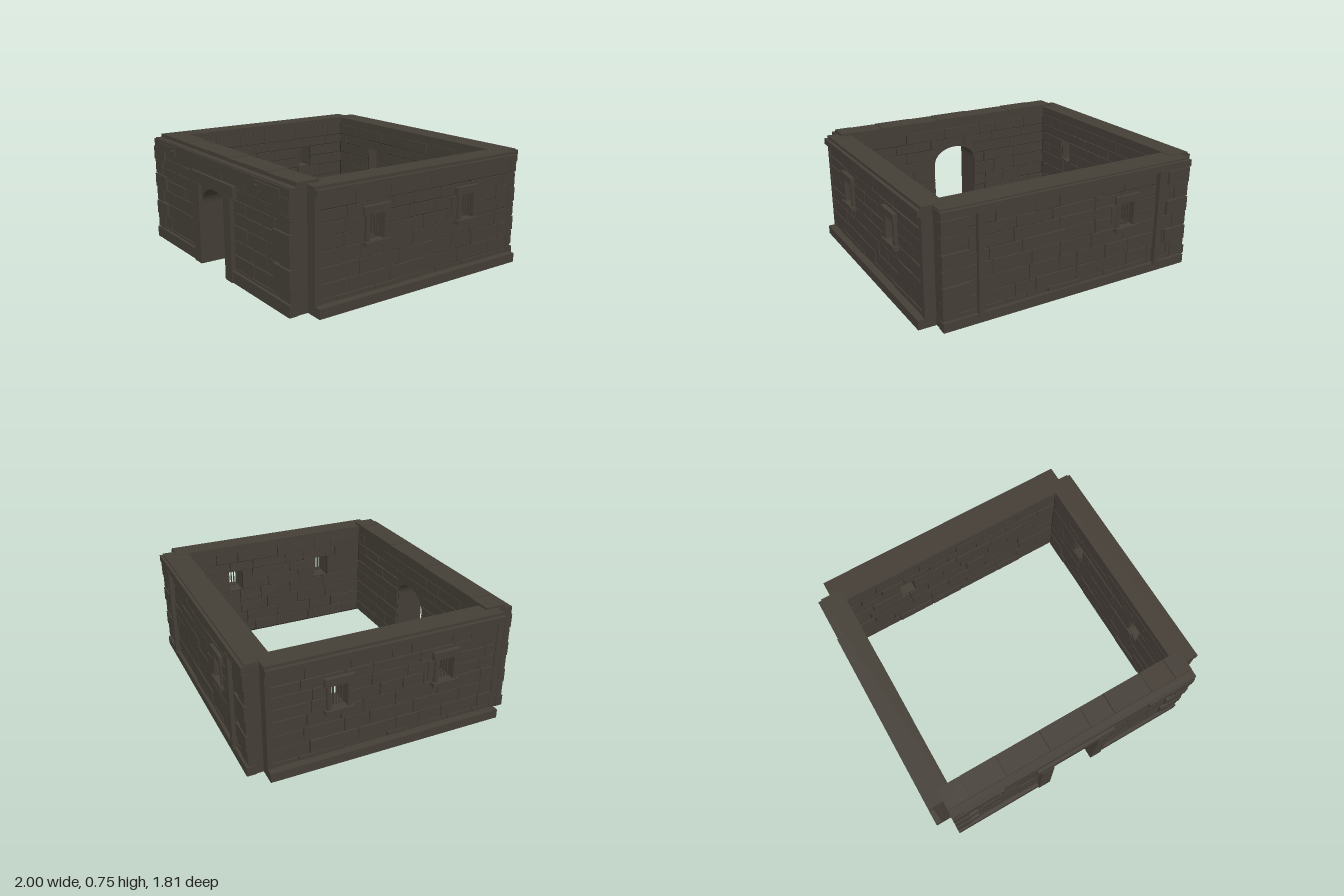
import * as THREE from 'three';
import { mergeGeometries } from 'three/addons/utils/BufferGeometryUtils.js';

export function createModel() {
  const model = new THREE.Group();
  model.name = 'stoneBuilding';
  const stone = new THREE.MeshStandardMaterial({ color: 0x443e36 });
  stone.name = 'dark stone';
  const mortar = new THREE.MeshStandardMaterial({ color: 0x26221d });
  mortar.name = 'mortar';

  let seed = 7;
  const rnd = () => (seed = (seed * 16807) % 2147483647) / 2147483647;

  // Box given by its limits on each axis
  const block = (x0, x1, y0, y1, z0, z1) =>
    new THREE.BoxGeometry(x1 - x0, y1 - y0, z1 - z0).translate((x0 + x1) / 2, (y0 + y1) / 2, (z0 + z1) / 2);
  const add = (parent, name, geos, mat = stone) => {
    const mesh = new THREE.Mesh(Array.isArray(geos) ? mergeGeometries(geos) : geos, mat);
    mesh.name = name;
    parent.add(mesh);
    return mesh;
  };

  const COURSES = [0.02, 0.1, 0.19, 0.285, 0.38, 0.46, 0.54, 0.61, 0.69];
  const WIN = { half: 0.053, y0: 0.38, y1: 0.54 };

  // Courses of uneven stones on one face of a wall, leaving rectangular openings
  function masonry(u0, u1, back, front, holes) {
    const out = [], gap = 0.003, dir = Math.sign(front - back);
    for (let r = 0; r < COURSES.length - 1; r++) {
      const y0 = COURSES[r], y1 = COURSES[r + 1];
      const cut = holes.filter(h => h.y0 < y1 - 0.001 && h.y1 > y0 + 0.001).sort((a, b) => a.u0 - b.u0);
      let start = u0;
      for (const h of [...cut, { u0: u1, u1 }]) {
        let a = start;
        while (a < h.u0 - 0.001) {
          let b = a + 0.13 + rnd() * 0.2;
          if (h.u0 - b < 0.08) b = h.u0;
          const f = front + dir * (rnd() - 0.5) * 0.007;
          out.push(block(a + gap, b - gap, y0 + gap, y1 - gap, Math.min(back, f), Math.max(back, f)));
          a = b;
        }
        start = h.u1;
      }
    }
    return out;
  }

  const rectHole = (a, b, c, d) => new THREE.Path([[a, c], [b, c], [b, d], [a, d]].map(p => new THREE.Vector2(...p)));

  // Arched curve of the doorway, left foot to right foot
  const arch = [];
  for (let i = 0; i <= 16; i++) {
    const t = Math.PI * (1 - i / 16);
    arch.push(new THREE.Vector2(0.168 * Math.cos(t), 0.42 + 0.12 * Math.sin(t)));
  }

  // One wall in local axes: x along, y up, z outward from the building centre
  function wall(name, turn, o) {
    const g = new THREE.Group();
    g.name = name;
    g.rotation.y = turn;
    model.add(g);
    const pts = [[o.u0, 0.01]];
    const outline = new THREE.Shape();
    outline.moveTo(...pts[0]);
    if (o.door) {
      outline.lineTo(-0.168, 0.01);
      arch.forEach(p => outline.lineTo(p.x, p.y));
      outline.lineTo(0.168, 0.01);
    }
    outline.lineTo(o.u1, 0.01);
    outline.lineTo(o.u1, o.top);
    outline.lineTo(o.u0, o.top);
    const holes = o.windows.map(c => ({ u0: c - WIN.half, u1: c + WIN.half, y0: WIN.y0, y1: WIN.y1 }));
    holes.forEach(h => outline.holes.push(rectHole(h.u0, h.u1, h.y0, h.y1)));
    const core = new THREE.ExtrudeGeometry(outline, { depth: o.w1 - o.w0 - 0.02, bevelEnabled: false });
    core.translate(0, 0, o.w0 + 0.01);
    add(g, name + 'Core', core, [mortar, stone]);
    if (o.door) holes.push({ u0: -0.168, u1: 0.168, y0: 0, y1: 0.54 });
    add(g, name + 'OuterStones', masonry(o.u0, o.u1, o.w1 - 0.013, o.w1, holes));
    add(g, name + 'InnerStones', masonry(o.i0, o.i1, o.w0 + 0.013, o.w0, holes));
    // Plain course along the wall head
    add(g, name + 'Head', block(o.u0, o.u1, 0.69, o.top, o.w0, o.w1));

    // Barred windows with stone surrounds
    for (const c of o.windows) {
      const win = new THREE.Group();
      win.name = 'barredWindow';
      win.position.x = c;
      g.add(win);
      const w = o.w1, p = o.proj, side = Math.sign(c);
      add(win, 'windowSurround', [
        block(-0.094, 0.094, 0.54, 0.588, w - 0.02, w + p),
        block(-0.09, 0.09, 0.352, 0.38, w - 0.02, w + p + 0.006),
        block(-0.078, -WIN.half, 0.38, 0.54, w - 0.02, w + p - 0.008),
        block(WIN.half, 0.078, 0.38, 0.54, w - 0.02, w + p - 0.008),
        block(-0.078 - 0.04 * (side < 0 ? 0 : 1), -0.07, 0.41, 0.53, w - 0.01, w + 0.008),
      ]);
      const bars = [];
      for (let i = -2; i <= 2; i++)
        bars.push(new THREE.CylinderGeometry(0.005, 0.005, 0.16, 6).translate(i * 0.02, 0.46, w - 0.025));
      add(win, 'windowBars', bars);
    }
    return g;
  }

  // Alternating corner stones at both ends of a wall
  function quoins(g, half, w) {
    const geos = [];
    for (const s of [-1, 1]) for (let i = 0; i < 6; i++) {
      const len = i % 2 ? 0.17 : 0.11, y = 0.085 + i * 0.1;
      const a = s * half, b = s * (half - len);
      geos.push(block(Math.min(a, b), Math.max(a, b), y + 0.003, y + 0.097, w - 0.03, w + (i % 2 ? 0.016 : 0.01)));
    }
    add(g, 'cornerStones', geos);
  }

  // Front wall with doorway
  const front = wall('frontWall', 0, {
    u0: -0.885, u1: 0.885, i0: -0.81, i1: 0.81, w0: 0.685, w1: 0.872, top: 0.74, proj: 0.02, windows: [], door: true });
  quoins(front, 0.888, 0.872);
  add(front, 'frontPlinth', [block(-0.89, -0.26, 0.01, 0.083, 0.84, 0.892), block(0.25, 0.89, 0.01, 0.083, 0.84, 0.892)]);
  add(front, 'doorSurround', [
    block(-0.258, -0.168, 0.01, 0.55, 0.82, 0.9),
    block(0.168, 0.252, 0.01, 0.55, 0.82, 0.9),
    block(-0.288, 0.284, 0.55, 0.625, 0.82, 0.895),
  ]);
  // Stone faces filling the corners above the arch
  const spandrel = new THREE.Shape([...arch, new THREE.Vector2(0.168, 0.552), new THREE.Vector2(-0.168, 0.552)]);
  add(front, 'archFace', new THREE.ExtrudeGeometry(spandrel, { depth: 0.187, bevelEnabled: false }).translate(0, 0, 0.687));
  add(front, 'frontBand', block(-0.885, 0.885, 0.675, 0.735, 0.8, 0.882));
  for (const s of [-1, 1]) {
    add(front, 'bandBracket', block(s * 0.665 - 0.135, s * 0.665 + 0.135, 0.668, 0.718, 0.86, 0.89));
    add(front, 'bandStudPlate', block(s * 0.56 - 0.03, s * 0.56 + 0.03, 0.662, 0.722, 0.86, 0.893));
    const stud = add(front, 'bandStud', new THREE.CylinderGeometry(0.012, 0.012, 0.02, 8));
    stud.rotation.x = Math.PI / 2;
    stud.position.set(s * 0.56, 0.692, 0.893);
  }
  // Coping stones along the front parapet
  const seams = [-0.885, -0.73, -0.48, -0.17, 0.125, 0.3, 0.575, 0.755, 0.88];
  add(front, 'copingStones', seams.slice(1).map((b, i) =>
    block(seams[i] + 0.002, b - 0.002, 0.73, 0.762 + (i % 2) * 0.003, 0.685, 0.83)));

  // Back wall with one window and two pilasters
  const back = wall('backWall', Math.PI, {
    u0: -0.885, u1: 0.885, i0: -0.81, i1: 0.81, w0: 0.71, w1: 0.88, top: 0.745, proj: 0.02, windows: [0.39] });
  quoins(back, 0.888, 0.88);
  add(back, 'backPlinth', block(-0.89, 0.89, 0.01, 0.07, 0.84, 0.9));
  add(back, 'backBand', block(-0.89, 0.89, 0.69, 0.735, 0.8, 0.902));
  for (const s of [-1, 1])
    add(back, 'pilaster', block(s * 0.648 - 0.02, s * 0.648 + 0.02, 0.05, 0.7, 0.86, 0.908));

  // Side walls, each with two windows
  for (const s of [1, -1]) {
    const lim = (a, b) => (s > 0 ? [a, b] : [-b, -a]);
    const [u0, u1] = lim(-0.76, 0.785), [i0, i1] = lim(-0.685, 0.71), [p0, p1] = lim(-0.768, 0.795);
    const side = wall(s > 0 ? 'leftWall' : 'rightWall', s * Math.PI / 2, {
      u0, u1, i0, i1, w0: 0.808, w1: 0.952, top: 0.745, proj: 0.03, windows: [-0.352, 0.362] });
    add(side, 'sidePlinth', block(p0, p1, 0.01, 0.07, 0.88, 1));
    add(side, 'sideBand', block(p0, p1, 0.69, 0.73, 0.88, 0.978));
    add(side, 'sideCoping', block(p0, p1, 0.725, 0.748, 0.808, 0.955));
    add(side, 'cornerPosts', [block(p0, p0 + 0.035, 0.05, 0.7, 0.85, 0.957), block(p1 - 0.035, p1, 0.05, 0.7, 0.85, 0.957)]);
  }
  return model;
}
